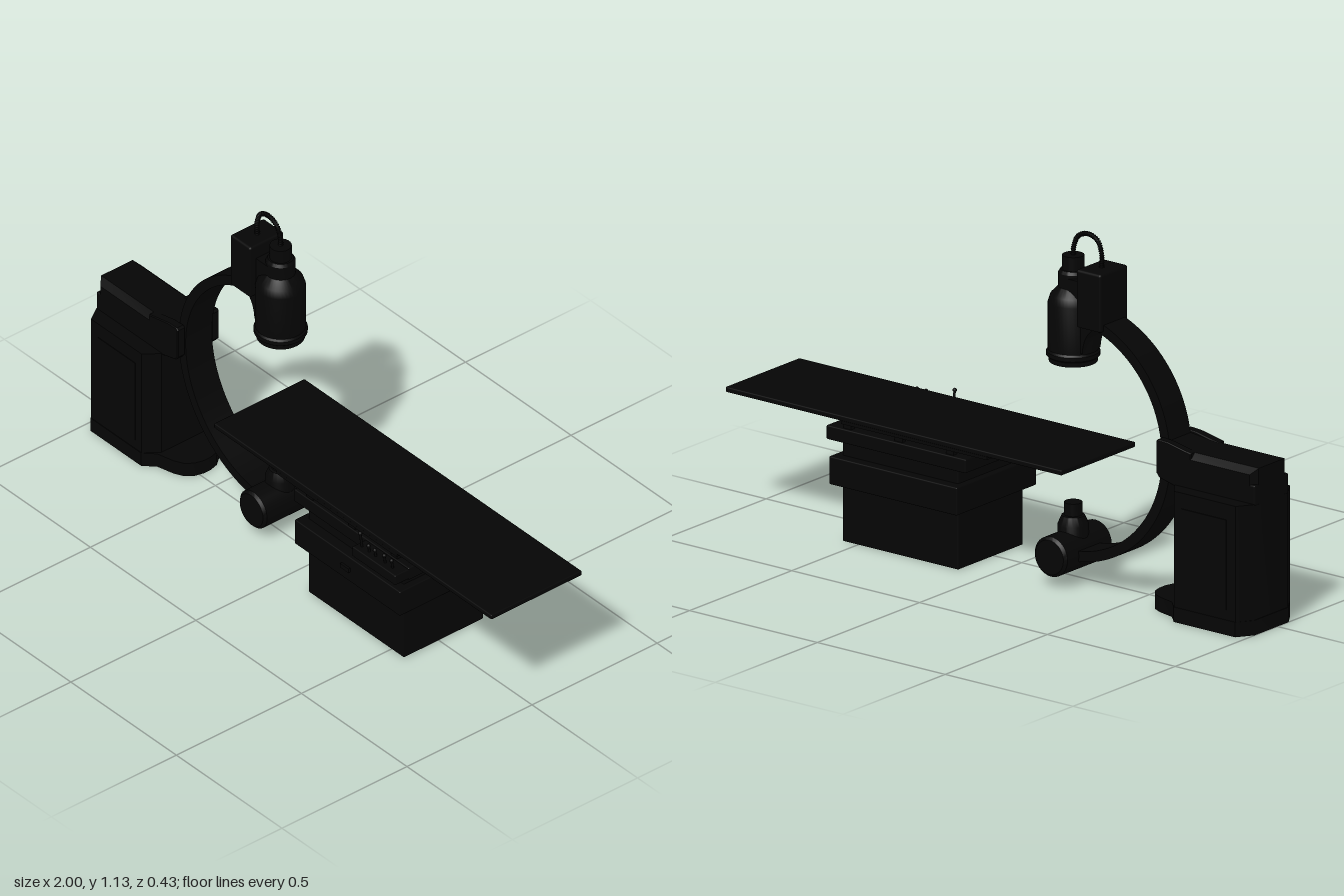
import * as THREE from 'three';
import { toCreasedNormals } from 'three/addons/utils/BufferGeometryUtils.js';
import { RoundedBoxGeometry } from 'three/addons/geometries/RoundedBoxGeometry.js';

const ZC = -0.028; // centre plane of the scanner
const material = new THREE.MeshStandardMaterial({ color: 0x050505 });

function add(parent, name, geometry, x = 0, y = 0, z = 0) {
  const mesh = new THREE.Mesh(geometry, material);
  mesh.name = name;
  mesh.position.set(x, y, z);
  parent.add(mesh);
  return mesh;
}

// Box given by its limits, optionally with rounded edges
function block(parent, name, [x0, x1], [y0, y1], [z0, z1], r = 0) {
  const s = [x1 - x0, y1 - y0, z1 - z0];
  const g = r ? new RoundedBoxGeometry(...s, 2, r) : new THREE.BoxGeometry(...s);
  return add(parent, name, g, (x0 + x1) / 2, (y0 + y1) / 2, (z0 + z1) / 2);
}

const shapeOf = (pts) => new THREE.Shape(pts.map((p) => new THREE.Vector2(...p)));

// Plan outline mirrored about the centre plane and raised from y0 to y1
function prism(parent, name, half, y0, y1) {
  const pts = [...half, ...half.map(([x, z]) => [x, -z]).reverse()];
  const g = new THREE.ExtrudeGeometry(shapeOf(pts), { depth: y1 - y0, bevelEnabled: false });
  g.rotateX(-Math.PI / 2);
  return add(parent, name, toCreasedNormals(g, 0.6), 0, y0, ZC);
}

// Front profile extruded symmetrically in z
function slab(parent, name, shape, width, bevel = 0) {
  const g = new THREE.ExtrudeGeometry(shape, {
    depth: width - 2 * bevel, curveSegments: 48, bevelEnabled: bevel > 0,
    bevelSize: bevel, bevelThickness: bevel, bevelOffset: -bevel, bevelSegments: 1,
  });
  g.translate(0, 0, ZC - width / 2 + bevel);
  return add(parent, name, toCreasedNormals(g, 0.5));
}

function lathe(parent, name, pts, x, y) {
  const g = new THREE.LatheGeometry(pts.map((p) => new THREE.Vector2(...p)), 40);
  return add(parent, name, toCreasedNormals(g, 0.5), x, y, ZC);
}

function buildStand() {
  const g = new THREE.Group();
  g.name = 'scannerStand';
  // Foot with rounded nose and the faceted column
  prism(g, 'foot', [[-1, 0.083], [-0.965, 0.135], [-0.725, 0.135], [-0.69, 0.1],
    [-0.63, 0.085], [-0.6, 0.07], [-0.58, 0.045], [-0.572, 0.015]], 0, 0.048);
  prism(g, 'column', [[-0.998, 0.083], [-0.965, 0.133], [-0.725, 0.133], [-0.688, 0.085]], 0.048, 0.42);
  for (const s of [-1, 1]) {
    const z = ZC + s * 0.133;
    block(g, 'sidePanel', [-0.93, -0.755], [0.08, 0.37], [z - 0.003, z + 0.002]);
  }
  // Head: chamfered housing and cheeks that grip the arm
  slab(g, 'headHousing', shapeOf([[-1, 0.415], [-0.66, 0.415], [-0.63, 0.43], [-0.63, 0.545],
    [-0.75, 0.532], [-1, 0.532]]), 0.166, 0.02);
  block(g, 'headSkirt', [-1, -0.68], [0.415, 0.48], [ZC - 0.083, ZC + 0.083], 0.005);
  for (const s of [-1, 1]) {
    const cheek = slab(g, 'armCheek', shapeOf([[-0.75, 0.415], [-0.685, 0.415], [-0.625, 0.43],
      [-0.613, 0.445], [-0.613, 0.545], [-0.62, 0.552], [-0.66, 0.55], [-0.75, 0.532]]), 0.03, 0.003);
    cheek.position.z = s * 0.068;
  }
  return g;
}

function buildArm() {
  const g = new THREE.Group();
  g.name = 'scannerArm';
  // C-shaped arm
  const arc = new THREE.Shape();
  const a0 = Math.PI * 0.575, a1 = Math.PI * 1.48;
  arc.absarc(-0.24, 0.485, 0.405, a0, a1, false);
  arc.absarc(-0.24, 0.485, 0.372, a1, a0, true);
  slab(g, 'cArm', arc, 0.105);

  // Upper head: mounting box, bracket, cylindrical receiver and cable
  block(g, 'mountingBox', [-0.385, -0.288], [0.84, 1.027], [ZC - 0.068, ZC + 0.068], 0.008);
  const web = new THREE.Shape();
  web.moveTo(-0.37, 0.85);
  web.quadraticCurveTo(-0.3, 0.83, -0.295, 0.75);
  web.lineTo(-0.23, 0.75);
  web.lineTo(-0.23, 0.98);
  web.lineTo(-0.29, 0.98);
  web.lineTo(-0.37, 0.9);
  slab(g, 'receiverBracket', web, 0.09);
  lathe(g, 'receiver', [[0, 0.705], [0.075, 0.705], [0.077, 0.72], [0.083, 0.725], [0.083, 0.738],
    [0.078, 0.745], [0.078, 0.895], [0.07, 0.92], [0.046, 0.945], [0.046, 0.99], [0.04, 1.0],
    [0.034, 1.0], [0.034, 1.045], [0, 1.045]], -0.224, 0);
  const cable = new THREE.CatmullRomCurve3([[-0.335, 1.02], [-0.335, 1.07], [-0.318, 1.11], [-0.28, 1.123],
    [-0.243, 1.108], [-0.226, 1.07], [-0.224, 1.04]].map(([x, y]) => new THREE.Vector3(x, y, ZC)));
  add(g, 'cable', new THREE.TubeGeometry(cable, 60, 0.006, 10));
  const ring = new THREE.TorusGeometry(0.006, 0.0025, 6, 12);
  for (let i = 0; i <= 34; i++) {
    const t = i / 34;
    const p = cable.getPointAt(t);
    const rib = add(g, 'cableRib', ring, p.x, p.y, p.z);
    rib.lookAt(p.clone().add(cable.getTangentAt(t)));
  }

  // Lower head: horizontal drum with an upright emitter
  const drum = lathe(g, 'drum', [[0, -0.117], [0.055, -0.117], [0.064, -0.108], [0.064, 0.108],
    [0.055, 0.117], [0, 0.117]], -0.224, 0.1);
  drum.rotation.x = Math.PI / 2;
  lathe(g, 'emitter', [[0, 0.1], [0.048, 0.1], [0.048, 0.18], [0.036, 0.208], [0.028, 0.21],
    [0.028, 0.25], [0, 0.25]], -0.224, 0);
  return g;
}

function buildTable() {
  const g = new THREE.Group();
  g.name = 'table';
  // Pedestal stack
  block(g, 'pedestal', [0.107, 0.56], [0, 0.33], [-0.177, 0.141], 0.004);
  block(g, 'pedestalBand', [0.085, 0.585], [0.187, 0.277], [-0.212, 0.178], 0.004);
  block(g, 'bandButton', [0.31, 0.35], [0.225, 0.24], [0.17, 0.186]);
  block(g, 'upperPlate', [0.06, 0.605], [0.325, 0.37], [-0.2, 0.16], 0.004);
  block(g, 'slideCarriage', [0.11, 0.545], [0.365, 0.385], [-0.14, 0.1]);
  // Slide rails and their small supports
  for (const z of [-0.182, 0.147]) {
    block(g, 'slideRail', [-0.02, 0.55], [0.384, 0.397], [z - 0.014, z + 0.014]);
    for (const x of [0.13, 0.33, 0.53])
      block(g, 'railSupport', [x - 0.015, x + 0.015], [0.365, 0.386], [z - 0.008, z + 0.008]);
  }
  block(g, 'tabletop', [-0.315, 1], [0.395, 0.412], [-0.2, 0.163], 0.004);

  // Control box with levers
  block(g, 'controlBox', [0.4, 0.605], [0.33, 0.366], [0.155, 0.214], 0.004);
  for (const [x, h] of [[0.42, 0.06], [0.455, 0.03], [0.485, 0.03], [0.53, 0.035], [0.565, 0.035]]) {
    const lever = new THREE.Group();
    lever.name = 'lever';
    lever.position.set(x, 0.364, 0.19);
    lever.rotation.x = 0.14;
    add(lever, 'leverStem', new THREE.CylinderGeometry(0.004, 0.004, h, 10), 0, h / 2, 0);
    add(lever, 'leverKnob', new THREE.SphereGeometry(0.007, 12, 8), 0, h - 0.005, 0);
    g.add(lever);
  }
  return g;
}

export function createModel() {
  const model = new THREE.Group();
  model.name = 'scannerAndTable';
  model.add(buildStand(), buildArm(), buildTable());
  return model;
}
